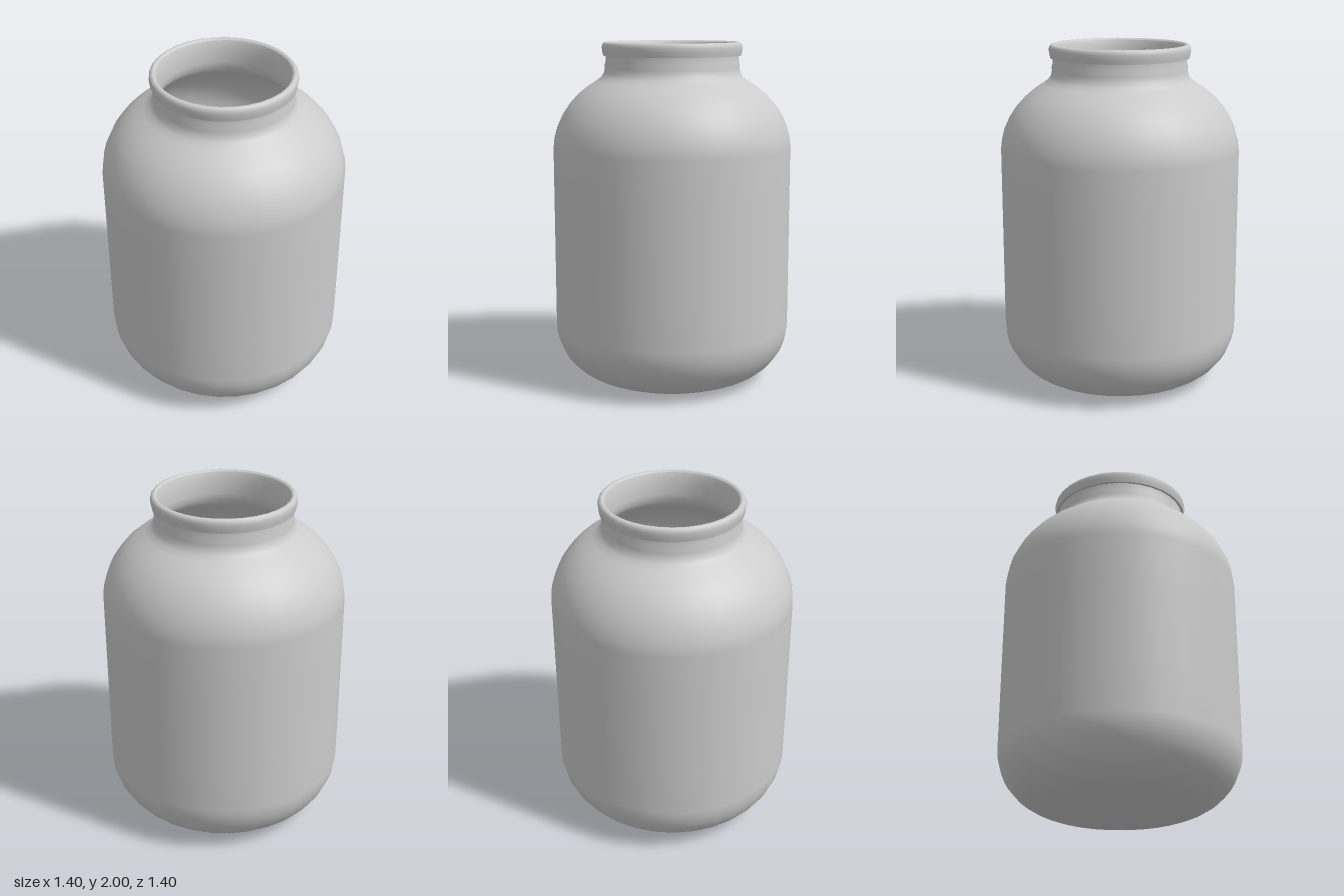
import * as THREE from 'three';

const SIDES = 32;

// Turns a list of [radius, height] pairs into a surface of revolution.
function turned(name, pairs, material) {
  const points = pairs.map(([r, y]) => new THREE.Vector2(r, y));
  const mesh = new THREE.Mesh(new THREE.LatheGeometry(points, SIDES), material);
  mesh.name = name;
  return mesh;
}

// Points on an arc in the profile plane, angles in degrees.
function arc(cx, cy, rx, ry, from, to, steps) {
  const out = [];
  for (let i = 0; i <= steps; i++) {
    const a = THREE.MathUtils.degToRad(from + ((to - from) * i) / steps);
    out.push([cx + rx * Math.cos(a), cy + ry * Math.sin(a)]);
  }
  return out;
}

export function createModel() {
  const glass = new THREE.MeshStandardMaterial({ color: 0xcccccc, side: THREE.DoubleSide });
  const jar = new THREE.Group();
  jar.name = 'jar';

  // Outer wall: slightly hollowed base, round heel, straight side, shoulder and neck
  jar.add(turned('outerBody', [
    [0, 0.02], [0.2, 0.015], [0.32, 0.003],
    ...arc(0.37, 0.33, 0.33, 0.33, -90, 0, 10),
    [0.7, 0.6], [0.7, 1.1],
    [0.7, 1.39], [0.693, 1.45], [0.675, 1.515], [0.645, 1.58], [0.605, 1.64],
    [0.555, 1.695], [0.5, 1.74], [0.45, 1.772], [0.417, 1.797], [0.401, 1.822],
    [0.395, 1.85], [0.396, 1.87], [0.39, 1.89], [0.39, 1.922],
  ], glass));

  // Underside of the rim
  jar.add(turned('rimUnderside', [[0.388, 1.922], [0.404, 1.922]].reverse(), glass));

  // Rounded rim around the mouth
  jar.add(turned('rim', [
    [0.404, 1.922], [0.409, 1.945], [0.412, 1.97], [0.409, 1.987], [0.401, 1.996],
    [0.391, 2], [0.381, 1.998], [0.375, 1.99],
  ], glass));

  // Inner wall, from the mouth down to the floor
  jar.add(turned('innerBody', [
    [0.375, 1.99], [0.366, 1.965], [0.36, 1.92], [0.358, 1.86], [0.364, 1.82],
    [0.385, 1.785], [0.43, 1.748], [0.485, 1.712], [0.535, 1.67],
    [0.58, 1.62], [0.617, 1.565], [0.645, 1.505], [0.662, 1.445], [0.669, 1.39],
    [0.669, 1.1], [0.669, 0.6],
    ...arc(0.37, 0.33, 0.299, 0.299, 0, -90, 10),
    [0.32, 0.034], [0.2, 0.046], [0, 0.051],
  ], glass));

  return jar;
}
